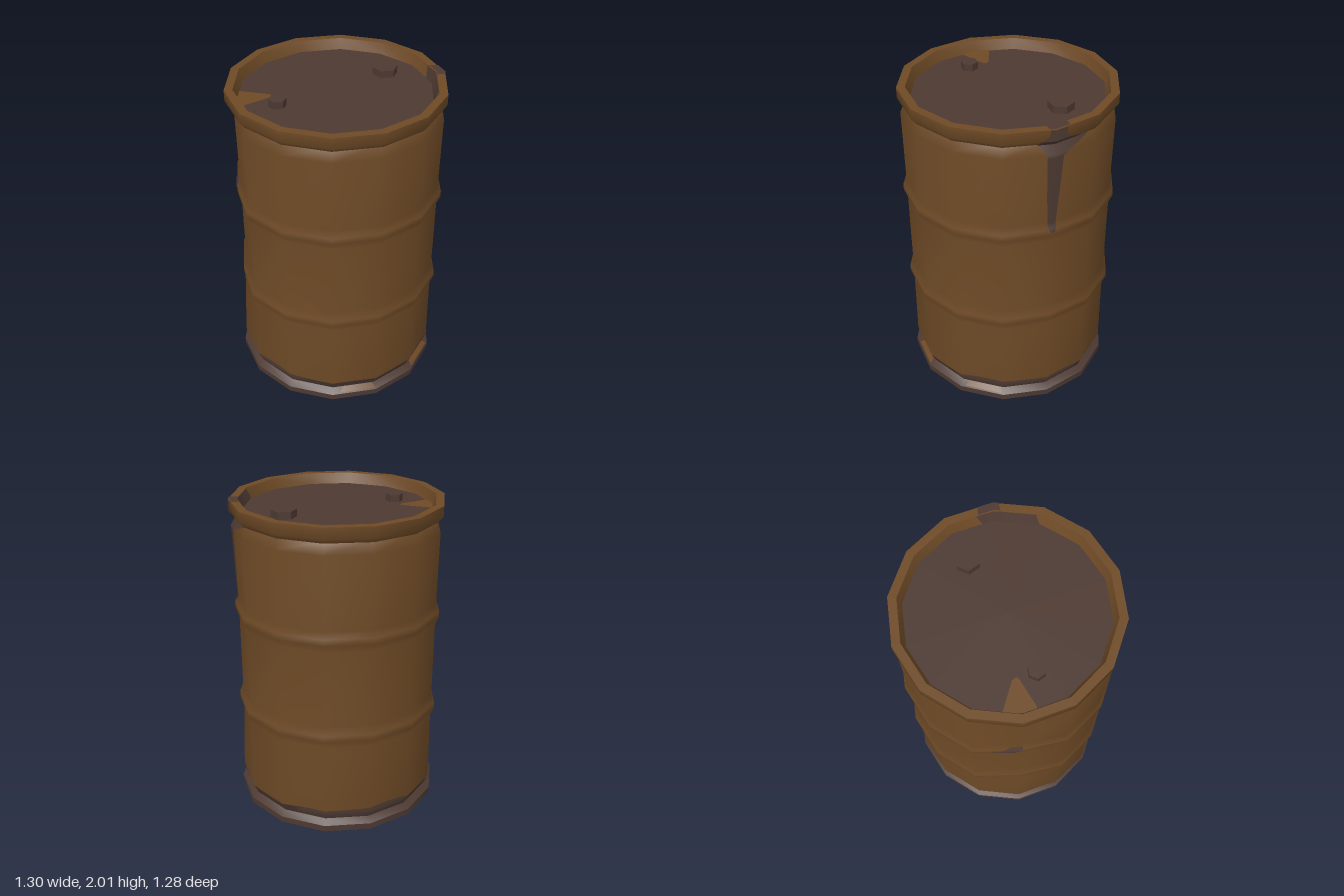
import * as THREE from 'three';
import { toCreasedNormals } from 'three/addons/utils/BufferGeometryUtils.js';

const SIDES = 14;
const STEP = (Math.PI * 2) / SIDES;

// Profiles as [radius, height], running up the outside
const WALL = [
  [0.6, 0.09], [0.637, 0.17], [0.633, 0.63], [0.655, 0.68], [0.655, 0.72], [0.633, 0.77],
  [0.633, 1.26], [0.655, 1.31], [0.655, 1.35], [0.633, 1.39], [0.637, 1.84], [0.6, 1.91],
];
const BASE = [[0, 0], [0.6, 0], [0.65, 0.03], [0.65, 0.07], [0.61, 0.1]];
const RIM = [[0.59, 1.905], [0.625, 1.905], [0.65, 1.935], [0.65, 2], [0.6, 2], [0.575, 1.93]];

// Dents pushed into single columns of the wall
function wallDent(k, row) {
  const col = ((k % SIDES) + SIDES) % SIDES;
  if (row < 2 || row > 10) return 0;
  if (col === 7) return row === 2 ? -0.02 : -0.036;
  if (col === 0) return row === 10 ? 0 : -0.014;
  return 0;
}
const noDent = () => 0;

// Corner of a many-sided shell
function corner(profile, dent, k, row) {
  const r = profile[row][0] + dent(k, row);
  return new THREE.Vector3(r * Math.cos(k * STEP), profile[row][1], -r * Math.sin(k * STEP));
}

// Point on the faceted shell at angle t and fractional profile index s
function shellPoint(profile, dent, t, s) {
  const k = Math.floor(t / STEP), a = t / STEP - k;
  const row = Math.min(Math.floor(s), profile.length - 2), b = s - row;
  const low = corner(profile, dent, k, row).lerp(corner(profile, dent, k + 1, row), a);
  const high = corner(profile, dent, k, row + 1).lerp(corner(profile, dent, k + 1, row + 1), a);
  const [r0, y0] = profile[row], [r1, y1] = profile[row + 1];
  const len = Math.hypot(r1 - r0, y1 - y0);
  const nr = (y1 - y0) / len, ny = (r0 - r1) / len;
  const normal = new THREE.Vector3(nr * Math.cos(t), ny, -nr * Math.sin(t));
  return { point: low.lerp(high, b).addScaledVector(normal, 0.005), normal };
}

// Height on the wall to fractional profile index
function wallIndex(y) {
  let i = 0;
  while (i < WALL.length - 2 && WALL[i + 1][1] < y) i++;
  return i + (y - WALL[i][1]) / (WALL[i + 1][1] - WALL[i][1]);
}

function gridIndex(rows, cols, wrap) {
  const index = [], stride = wrap ? cols : cols + 1;
  for (let j = 0; j < rows - 1; j++) {
    for (let i = 0; i < cols; i++) {
      const n = wrap ? (i + 1) % cols : i + 1;
      const a = j * stride + i, b = j * stride + n;
      index.push(a, b, b + stride, a, b + stride, a + stride);
    }
  }
  return index;
}

// Paint patch following a shell; rows are [s or s(t), t0, t1], bottom to top
function patchGeometry(profile, dent, rows, cols) {
  const pos = [], nor = [];
  for (const [s, t0, t1] of rows) {
    for (let i = 0; i <= cols; i++) {
      const t = t0 + ((t1 - t0) * i) / cols;
      const { point, normal } = shellPoint(profile, dent, t, typeof s === 'function' ? s(t) : s);
      pos.push(...point.toArray());
      nor.push(...normal.toArray());
    }
  }
  const g = new THREE.BufferGeometry();
  g.setAttribute('position', new THREE.Float32BufferAttribute(pos, 3));
  g.setAttribute('normal', new THREE.Float32BufferAttribute(nor, 3));
  g.setIndex(gridIndex(rows.length, cols, false));
  return g;
}

function wallGeometry() {
  const pos = [];
  WALL.forEach((_, row) => {
    for (let k = 0; k < SIDES; k++) pos.push(...corner(WALL, wallDent, k, row).toArray());
  });
  const g = new THREE.BufferGeometry();
  g.setAttribute('position', new THREE.Float32BufferAttribute(pos, 3));
  g.setIndex(gridIndex(WALL.length, SIDES, true));
  g.computeVertexNormals();
  return g;
}

function latheGeometry(profile) {
  const points = profile.map(([r, y]) => new THREE.Vector2(r, y));
  return toCreasedNormals(new THREE.LatheGeometry(points, SIDES, Math.PI / 2), 0.82);
}

export function createModel() {
  const group = new THREE.Group();
  const paint = new THREE.MeshStandardMaterial({ color: 0x6e4a26 });
  paint.name = 'brown paint';
  const rust = new THREE.MeshStandardMaterial({ color: 0x4d3932 });
  rust.name = 'dark rust';

  const add = (name, geometry, material) => {
    const mesh = new THREE.Mesh(geometry, material);
    mesh.name = name;
    group.add(mesh);
    return mesh;
  };

  // Shell
  add('wall', wallGeometry(), paint);
  add('baseRim', latheGeometry(BASE), rust);
  add('topRim', latheGeometry(RIM), paint);
  const lid = add('lid', new THREE.CircleGeometry(0.58, SIDES).rotateX(-Math.PI / 2), rust);
  lid.position.y = 1.935;

  // Two hexagonal plugs on the lid
  for (const [name, x, z, r] of [['largePlug', 0.33, -0.18, 0.076], ['smallPlug', -0.36, 0.11, 0.053]]) {
    const g = new THREE.CylinderGeometry(r, r, 0.045, 6).rotateY(Math.PI / 6);
    add(name, toCreasedNormals(g, 0.5), rust).position.set(x, 1.957, z);
  }

  // Uneven rust band around the foot of the wall
  const top = (t) => 0.172 + 0.012 * Math.sin(3 * t + 2.6) + 0.007 * Math.sin(7 * t);
  const full = [0, Math.PI * 2];
  add('footRust', patchGeometry(WALL, wallDent, [
    [0.05, ...full],
    [(t) => wallIndex(Math.min(top(t), 0.17)), ...full],
    [(t) => wallIndex(top(t)), ...full],
  ], SIDES * 4), rust);

  // Rust drip down the left side, with its stain over the rim
  const drip = [
    [1.335, -0.01, 0.025], [1.36, -0.035, 0.045], [1.39, -0.035, 0.05], [1.6, -0.05, 0.075],
    [1.82, -0.06, 0.1], [1.84, -0.065, 0.15], [1.87, -0.09, 0.3], [1.9, -0.16, 0.43],
  ];
  add('rustDrip', patchGeometry(WALL, wallDent,
    drip.map(([y, t0, t1]) => [wallIndex(y), t0, t1]), 12), rust);
  add('rimStain', patchGeometry(RIM, noDent, [
    [1.1, -0.16, 0.32], [1.95, -0.12, 0.17], [2, -0.1, 0.15], [2.5, -0.05, 0.11], [2.99, -0.05, 0.12],
  ], 12), rust);
  add('rimTopStain', patchGeometry(RIM, noDent, [[3, -0.05, 0.14], [3.99, -0.06, 0.16]], 12), rust);
  add('rimInnerStain', patchGeometry(RIM, noDent, [[4, -0.4, 0.18], [4.98, -0.45, 0.12]], 14), rust);

  // Small stain on the upper hoop of the right side
  const P = Math.PI;
  const hoop = [
    [1.23, P - 0.26, P - 0.18], [1.26, P - 0.27, P - 0.11], [1.31, P - 0.24, P - 0.05],
    [1.35, P - 0.16, P + 0.02], [1.38, P - 0.08, P + 0.02],
  ];
  add('hoopStain', patchGeometry(WALL, wallDent,
    hoop.map(([y, t0, t1]) => [wallIndex(y), t0, t1]), 10), rust);

  // Paint left on the base rim
  for (const [t0, t1] of [[-1.71, -1.35], [-0.85, -0.46]]) {
    add('basePaintChip', patchGeometry(BASE, noDent,
      [[3.2, t0, t1], [3.95, t0 + 0.03, t1 - 0.02]], 8), paint);
  }

  // Paint left on the lid
  const shape = new THREE.Shape([
    [-0.575, -0.085], [-0.55, -0.085], [-0.39, -0.015], [-0.375, 0.0], [-0.39, 0.025], [-0.555, 0.095], [-0.575, 0.09],
  ].map(([x, y]) => new THREE.Vector2(x, y)));
  const chip = add('lidPaintChip', new THREE.ShapeGeometry(shape).rotateX(-Math.PI / 2), paint);
  chip.position.y = 1.94;

  return group;
}
